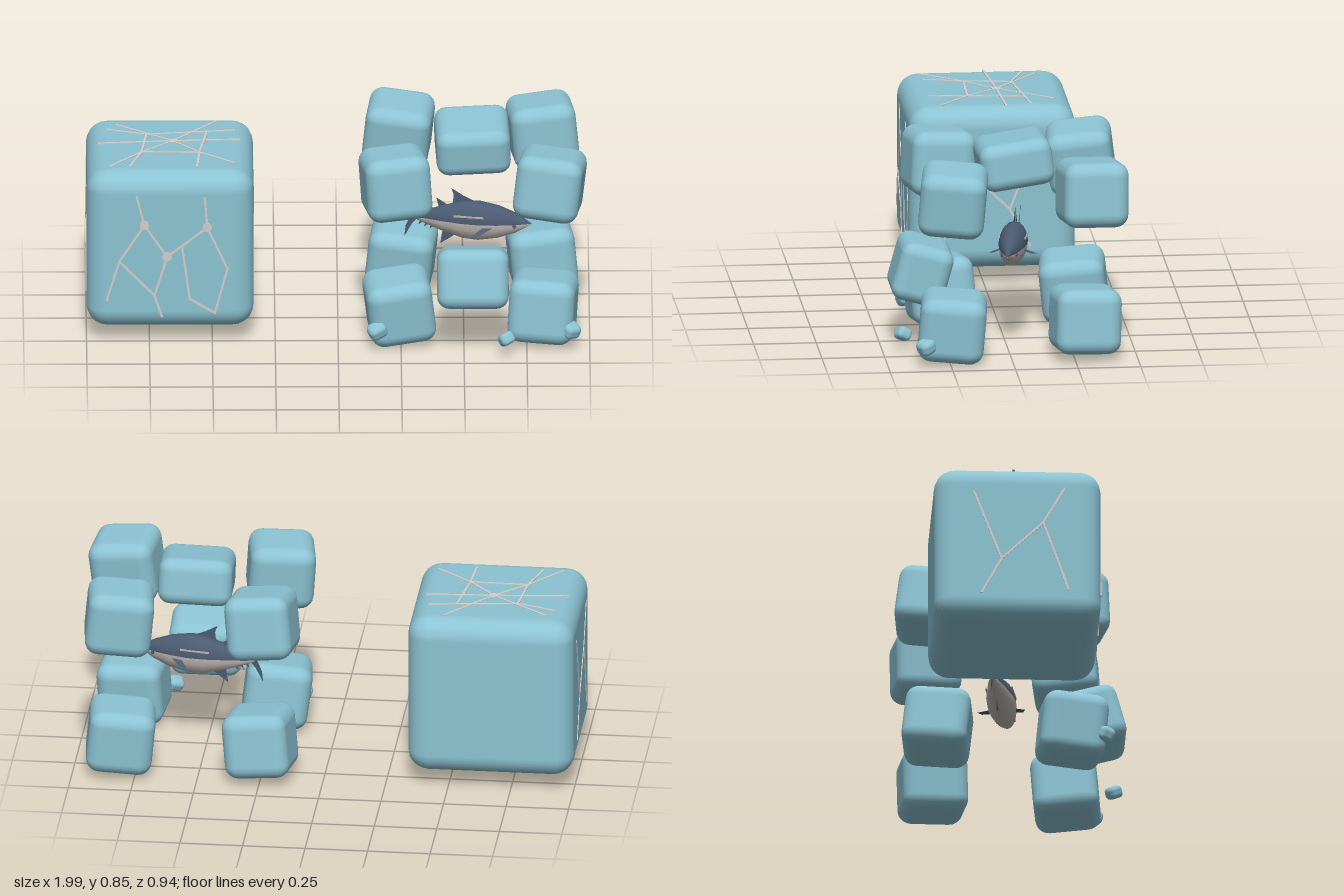
import * as THREE from 'three';
import { RoundedBoxGeometry } from 'three/addons/geometries/RoundedBoxGeometry.js';

const mat = (name, color, side = THREE.FrontSide) => {
  const m = new THREE.MeshStandardMaterial({ color, side });
  m.name = name;
  return m;
};

export function createModel() {
  const ice = mat('ice blue', 0x8cc3d3);
  const crackMat = mat('pale crack', 0xd3cdc9);
  const slate = mat('slate blue', 0x4c5b72, THREE.DoubleSide);
  const belly = mat('belly grey', 0xbdb4af, THREE.DoubleSide);
  const root = new THREE.Group();
  root.name = 'iceBlocksWithFish';

  const add = (parent, name, geo, material, pos = [0, 0, 0], rot = [0, 0, 0]) => {
    const m = new THREE.Mesh(geo, material);
    m.name = name;
    m.position.set(...pos);
    m.rotation.set(...rot);
    parent.add(m);
    return m;
  };
  const block = (name, size, radius, pos, rot) =>
    add(root, name, new RoundedBoxGeometry(...size, 3, radius), ice, pos, rot);

  // Large intact block
  const S = 0.664, C = [-0.668, 0.4, -0.035];
  block('largeBlock', [S, S, S], 0.085, C);

  // Cracks: thin strips laid on a face plane, with small discs at some joints
  const cracks = (name, pos, rot, paths, nodes = []) => {
    const g = new THREE.Group();
    g.name = name;
    g.position.set(...pos);
    g.rotation.set(...rot);
    for (const path of paths) {
      for (let i = 1; i < path.length; i++) {
        const [x0, y0] = path[i - 1], [x1, y1] = path[i];
        const len = Math.hypot(x1 - x0, y1 - y0);
        add(g, 'crack', new THREE.BoxGeometry(len + 0.006, 0.009, 0.006), crackMat,
          [(x0 + x1) / 2, (y0 + y1) / 2, 0], [0, 0, Math.atan2(y1 - y0, x1 - x0)]);
      }
    }
    for (const [x, y] of nodes) {
      add(g, 'crackJoint', new THREE.CylinderGeometry(0.02, 0.02, 0.007, 8), crackMat,
        [x, y, 0], [Math.PI / 2, 0, 0]);
    }
    root.add(g);
  };
  cracks('frontCracks', [0, 0, C[2] + S / 2], [0, 0, 0], [
    [[-0.8, 0.64], [-0.77, 0.52], [-0.87, 0.365], [-0.92, 0.2]],
    [[-0.77, 0.52], [-0.68, 0.385], [-0.73, 0.22], [-0.7, 0.13]],
    [[-0.87, 0.365], [-0.73, 0.22]],
    [[-0.68, 0.385], [-0.52, 0.51], [-0.53, 0.635]],
    [[-0.52, 0.51], [-0.44, 0.335], [-0.49, 0.145], [-0.59, 0.205], [-0.62, 0.43]],
  ], [[-0.77, 0.52], [-0.68, 0.385], [-0.52, 0.51]]);
  cracks('topCracks', [0, C[1] + S / 2, 0], [-Math.PI / 2, 0, 0], [
    [[-0.88, 0.25], [-0.655, 0.075], [-0.48, 0.29]],
    [[-0.95, 0.05], [-0.655, 0.075], [-0.39, 0.09]],
    [[-0.655, 0.075], [-0.78, -0.045], [-0.905, -0.2]],
    [[-0.825, -0.2], [-0.78, -0.045], [-0.55, -0.05], [-0.56, -0.2]],
    [[-0.655, 0.075], [-0.55, -0.05], [-0.41, -0.165]],
    [[-0.915, 0.2], [-0.76, 0.145], [-0.41, 0.19]],
    [[-0.76, 0.145], [-0.78, -0.045]],
    [[-0.55, -0.05], [-0.52, 0.17]],
  ], [[-0.655, 0.075]]);
  for (const s of [1, -1]) {
    const flip = path => path.map(([z, y]) => [-s * z, y]);
    cracks(s > 0 ? 'innerSideCracks' : 'outerSideCracks',
      [C[0] + s * S / 2, 0, 0], [0, s * Math.PI / 2, 0], [
        flip([[0.15, 0.63], [0.065, 0.48], [0.135, 0.28], [0.165, 0.19]]),
        flip([[0.065, 0.48], [-0.1, 0.32], [-0.21, 0.61]]),
        flip([[-0.1, 0.32], [-0.18, 0.17]]),
      ]);
  }

  // Eight corner pieces of the broken block
  const corners = [
    ['upperFrontRightPiece', [0.228, 0.675, 0.238], [-0.06, 0.16, 0.07]],
    ['upperFrontLeftPiece', [0.842, 0.67, 0.235], [-0.08, -0.12, -0.12]],
    ['upperBackRightPiece', [0.243, 0.682, -0.328], [0.12, -0.11, -0.1]],
    ['upperBackLeftPiece', [0.815, 0.68, -0.322], [-0.03, 0.12, 0.1]],
    ['lowerFrontRightPiece', [0.243, 0.152, 0.235], [0.08, 0.1, 0.12]],
    ['lowerFrontLeftPiece', [0.815, 0.147, 0.235], [-0.08, -0.1, -0.06]],
    ['lowerBackRightPiece', [0.255, 0.16, -0.3], [0.1, -0.12, -0.1]],
    ['lowerBackLeftPiece', [0.812, 0.16, -0.295], [-0.04, 0.1, 0.1]],
  ];
  for (const [name, pos, rot] of corners) block(name, [0.262, 0.262, 0.262], 0.055, pos, rot);

  // Two middle pieces
  block('topMiddlePiece', [0.295, 0.19, 0.29], 0.05, [0.535, 0.75, -0.035], [0.14, 0.04, 0.03]);
  block('frontMiddlePiece', [0.285, 0.24, 0.215], 0.05, [0.535, 0.31, 0.337], [-0.27, 0, 0]);

  // Small chips
  block('chip', [0.075, 0.06, 0.065], 0.022, [0.155, 0.095, 0.365], [0.3, 0.4, 0.3]);
  block('chip', [0.06, 0.05, 0.06], 0.018, [0.668, 0.08, 0.42], [-0.5, 0.3, 0.5]);
  block('chip', [0.068, 0.06, 0.068], 0.022, [0.925, 0.09, 0.35], [0.4, 0.5, -0.3]);

  // Fish, head towards +x
  const fish = new THREE.Group();
  fish.name = 'fish';
  fish.position.set(0.53, 0.41, -0.035);
  fish.rotation.y = -0.19;
  root.add(fish);
  const profile = [[0.006, -0.235], [0.022, -0.2], [0.052, -0.12], [0.078, -0.03], [0.082, 0.03],
    [0.068, 0.11], [0.042, 0.18], [0.002, 0.245]].map(p => new THREE.Vector2(...p));
  const half = (name, start, material) => {
    const geo = new THREE.LatheGeometry(profile, 8, start, Math.PI);
    geo.rotateZ(-Math.PI / 2);
    geo.scale(1, 1, 0.7);
    add(fish, name, geo, material);
  };
  half('fishBack', Math.PI, slate);
  half('fishBelly', 0, belly);

  // Fins are flat outlines in the fish's side plane
  const fin = (name, pts, pos, rot) => add(fish, name,
    new THREE.ShapeGeometry(new THREE.Shape(pts.map(p => new THREE.Vector2(...p)))), slate, pos, rot);
  fin('tailFin', [[-0.21, 0], [-0.245, 0.035], [-0.275, 0.085], [-0.27, 0.04], [-0.245, 0],
    [-0.265, -0.045], [-0.27, -0.09], [-0.24, -0.035]]);
  fin('dorsalFin', [[0.02, 0.078], [-0.03, 0.1], [-0.08, 0.13], [-0.07, 0.1], [-0.075, 0.06]]);
  fin('secondDorsalFin', [[-0.09, 0.055], [-0.14, 0.085], [-0.13, 0.04]]);
  fin('analFin', [[-0.06, -0.065], [-0.125, -0.11], [-0.115, -0.05]]);
  for (let i = 0; i < 3; i++) {
    const x = -0.15 - i * 0.022, y = 0.037 - i * 0.008;
    for (const s of [1, -1]) fin('finlet', [[x, s * y], [x - 0.018, s * (y + 0.014)], [x - 0.012, s * (y - 0.01)]]);
  }
  for (const s of [1, -1]) {
    fin('pectoralFin', [[0.1, 0], [0.05, -0.045], [0.01, -0.06], [0.06, 0]],
      [0, -0.01, s * 0.045], [-s * 1.0, 0, 0]);
  }

  // Pale side stripe and eyes
  for (const s of [1, -1]) {
    add(fish, 'sideStripe', new THREE.BoxGeometry(0.12, 0.006, 0.006), belly, [0, 0.03, s * 0.052]);
    add(fish, 'eye', new THREE.CylinderGeometry(0.008, 0.008, 0.006, 8), slate,
      [0.18, -0.006, s * 0.029], [Math.PI / 2, 0, 0]);
  }
  return root;
}
